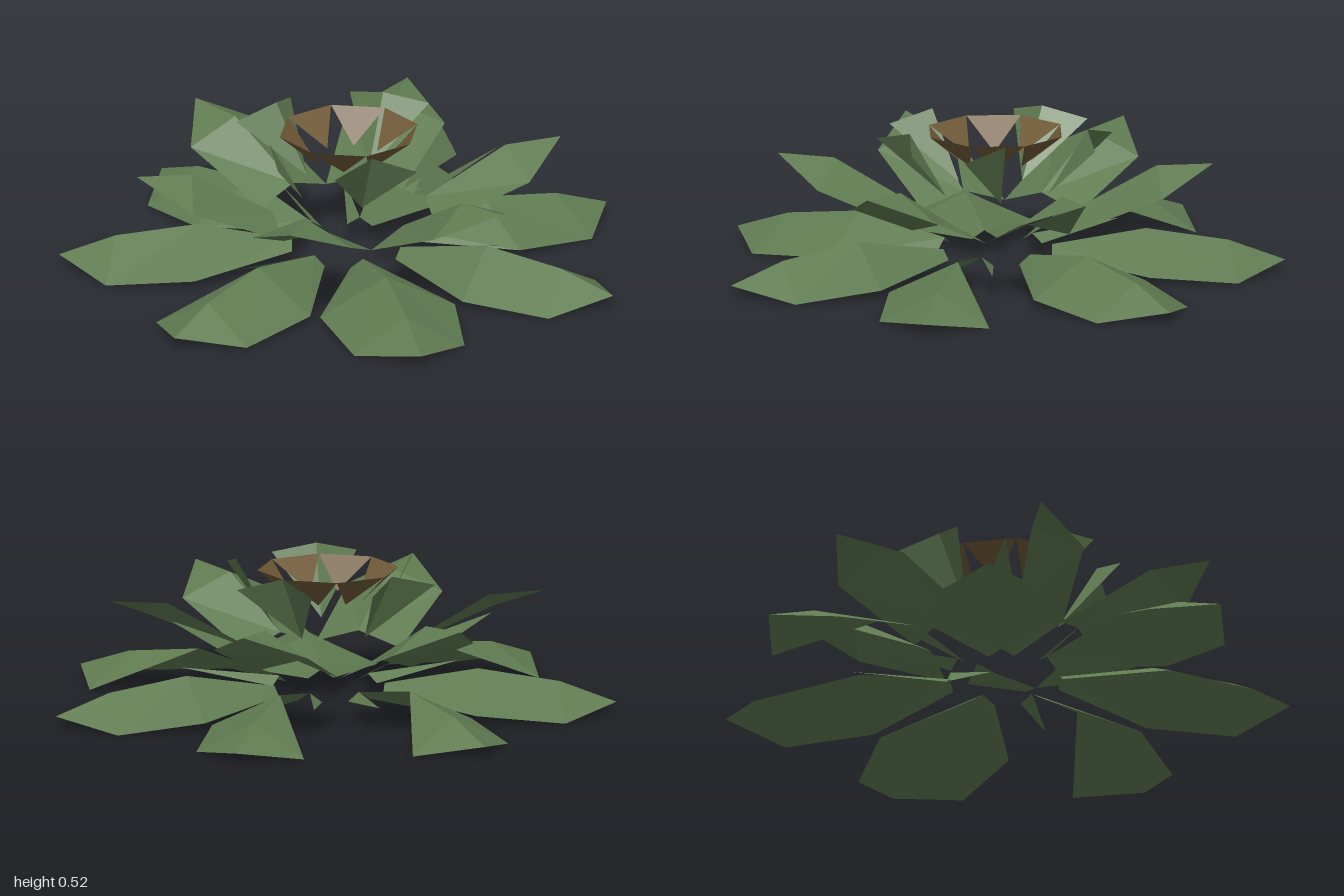
import * as THREE from 'three';

const green = new THREE.MeshStandardMaterial({ color: 0x5f7b51, side: THREE.DoubleSide, flatShading: true });
green.name = 'leafGreen';
const brown = new THREE.MeshStandardMaterial({ color: 0x705a38, side: THREE.DoubleSide, flatShading: true });
brown.name = 'crownBrown';

// Facets from a list of triangles, each three [x, y, z] corners
function facets(name, triangles, material) {
  const geometry = new THREE.BufferGeometry();
  geometry.setAttribute('position', new THREE.Float32BufferAttribute(triangles.flat(2), 3));
  geometry.computeVertexNormals();
  const mesh = new THREE.Mesh(geometry, material);
  mesh.name = name;
  return mesh;
}

// Leaf sections from tip to base: ridge [radius, height], edge [radius, halfWidth, height]
const LOWER = {
  tip: [1.02, 0.04],
  rows: [
    { ridge: [0.82, 0.11], edge: [0.86, 0.2, 0] },
    { ridge: [0.53, 0.15], edge: [0.55, 0.245, 0.03] },
    { ridge: [0.2, 0.09], edge: [0.2, 0.045, 0.06] },
  ],
  spike: [0.53, 0.126, 0.105],
};
const MIDDLE = {
  tip: [0.77, 0.4],
  rows: [
    { ridge: [0.57, 0.388], edge: [0.61, 0.18, 0.31] },
    { ridge: [0.277, 0.22], edge: [0.277, 0.16, 0.17] },
  ],
  spike: [0.57, 0.094, 0.345],
};
const UPPER = {
  tip: [0.33, 0.52],
  rows: [
    { ridge: [0.19, 0.28], edge: [0.39, 0.15, 0.478] },
  ],
};

// One side of a leaf; 'torn' sides keep fewer facets
function halfLeaf(spec, side, style) {
  const ridge = ([r, y]) => [0, y, r];
  const edge = ([r, w, y]) => [side * w, y, r];
  const { tip, rows, spike } = spec;
  const tris = [];
  const add = (a, b, c) => tris.push(side > 0 ? [a, b, c] : [a, c, b]);
  if (style === 'bare') return tris;
  if (style !== 'spike') add(ridge(tip), edge(rows[0].edge), ridge(rows[0].ridge));
  if (style === 'full') {
    for (let i = 1; i < rows.length; i++) {
      add(ridge(rows[i - 1].ridge), edge(rows[i - 1].edge), ridge(rows[i].ridge));
      add(edge(rows[i - 1].edge), edge(rows[i].edge), ridge(rows[i].ridge));
    }
  } else {
    if (style === 'torn') add(ridge(rows[0].ridge), edge(rows[0].edge), ridge(rows[1].ridge));
    const last = rows[rows.length - 1];
    add(edge(spike), edge(last.edge), ridge(last.ridge));
  }
  return tris;
}

function leaf(name, spec, degrees, rearStyle) {
  const rear = degrees < 0 ? -1 : 1;
  const mesh = facets(name, [
    ...halfLeaf(spec, rear, rearStyle),
    ...halfLeaf(spec, -rear, 'full'),
  ], green);
  mesh.rotation.y = THREE.MathUtils.degToRad(degrees);
  return mesh;
}

// A ring of leaves, given as [angle, style of the rear half] and mirrored
function whorl(name, leafName, spec, list) {
  const group = new THREE.Group();
  group.name = name;
  for (const [angle, style] of list) {
    group.add(leaf(leafName, spec, angle, style));
    if (angle !== 0) group.add(leaf(leafName, spec, -angle, style));
  }
  return group;
}

// Ring of teeth pointing inwards and down
function crown() {
  const tris = [];
  const n = 8;
  const at = (i, r, y) => {
    const a = (i / n) * Math.PI * 2;
    return [Math.sin(a) * r, y, Math.cos(a) * r];
  };
  for (let i = 0; i < n; i++) tris.push([at(i, 0.25, 0.498), at(i + 1, 0.25, 0.498), at(i + 0.5, 0.125, 0.39)]);
  return facets('crown', tris, brown);
}

export function createModel() {
  const model = new THREE.Group();
  model.name = 'rosettePlant';
  const step = 360 / 7;
  const plant = new THREE.Group();
  plant.name = 'rosette';
  plant.position.z = -0.05;
  plant.add(
    whorl('lowerLeaves', 'lowerLeaf', LOWER, [[0, 'full'], [step, 'torn'], [2 * step, 'full'], [3 * step, 'torn']]),
    whorl('middleLeaves', 'middleLeaf', MIDDLE, [[30, 'full'], [90, 'spike'], [150, 'full']]),
    whorl('upperLeaves', 'upperLeaf', UPPER, [[0, 'full'], [72, 'bare'], [144, 'full']]),
    crown(),
  );
  model.add(plant);
  return model;
}
